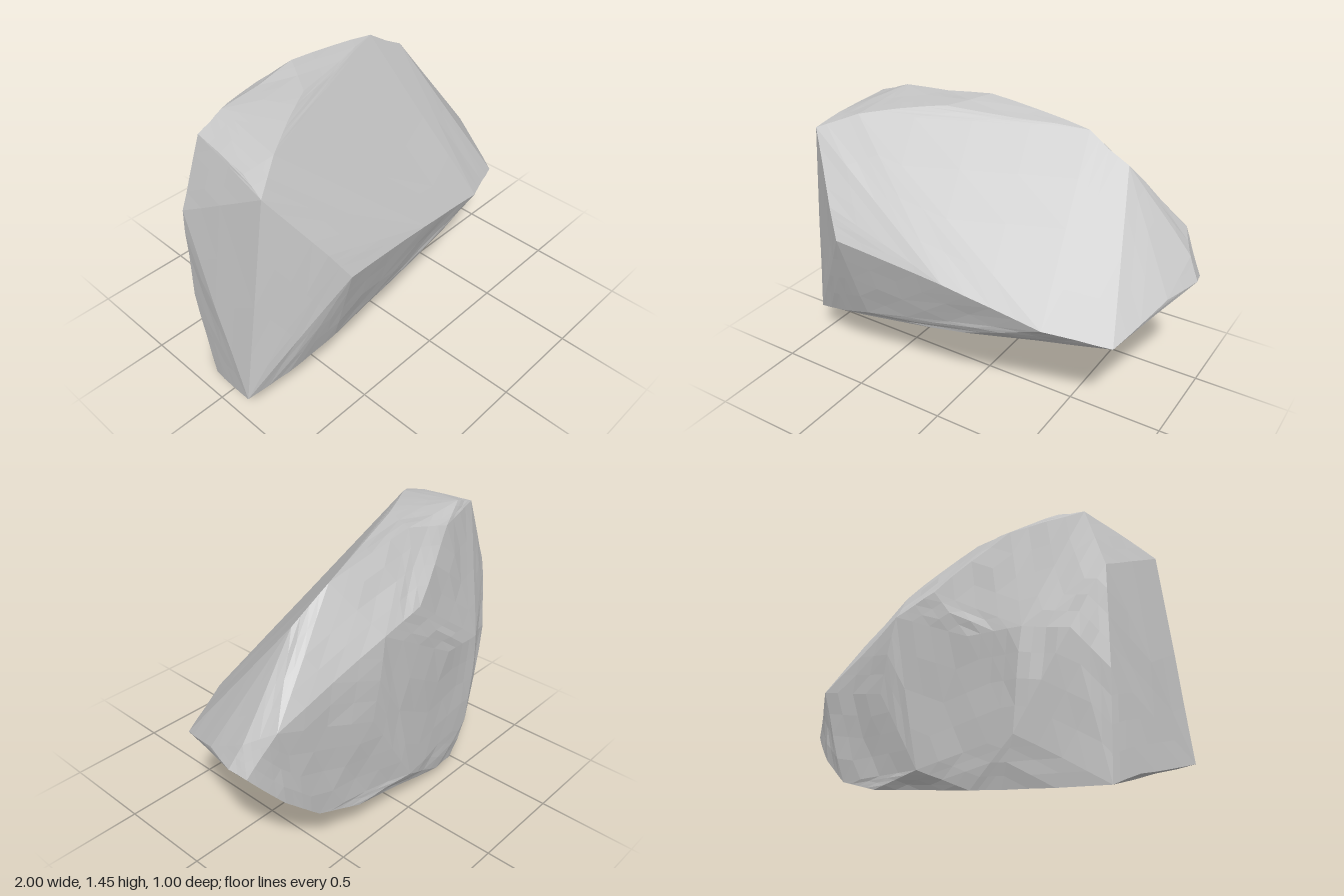
import * as THREE from 'three';
import { ConvexGeometry } from 'three/addons/geometries/ConvexGeometry.js';

// Corners of the boulder, grouped by region
const top = [
  [-0.86, 1.31, 0.27], [-0.83, 1.35, 0.13], [-0.68, 1.38, 0.15], [-0.8, 1.38, -0.2], [-0.5, 1.41, 0.04],
  [-0.65, 1.43, -0.22], [-0.3, 1.43, -0.07], [-0.17, 1.45, -0.29], [0.38, 1.37, -0.3], [0.6, 1.24, -0.29],
];
const front = [
  [-0.58, 0.85, 0.5], [-0.66, 0.99, 0.44], [-0.44, 1.18, 0.18], [0, 0.75, 0.43], [0.5, 0.62, 0.35],
  [0.81, 0.56, 0.22], [0.05, 0.43, 0.32], [-0.55, 0.35, 0.345], [-0.8, 0.25, 0.29], [-1, 0.17, 0.22],
];
const rightEnd = [
  [1, 0.72, -0.3], [0.98, 0.7, -0.39], [0.93, 0.7, -0.1], [0.94, 0.83, -0.33],
  [0.86, 0.91, -0.46], [0.81, 0.5, -0.44], [0.62, 0.33, -0.46],
];
const back = [
  [0.22, 1.11, -0.49], [-0.05, 1.15, -0.47], [-0.43, 1.39, -0.32], [-0.92, 1.02, -0.22],
  [-0.92, 0.5, -0.23], [-0.8, 0.7, -0.34], [-0.6, 0.75, -0.43], [-0.3, 0.8, -0.475],
  [0.3, 0.7, -0.5], [0, 0.22, -0.5], [-0.55, 0.25, -0.44],
];
const base = [
  [-0.88, 0, -0.21], [-0.94, 0.06, -0.1], [-0.46, 0.03, -0.42], [-0.3, 0.06, -0.45],
  [0, 0.16, -0.47], [0.35, 0.22, -0.47],
];

// Small repeatable offset for a position
function roughness(p) {
  const n = Math.sin(Math.round(p.x * 500) * 12.99 + Math.round(p.y * 500) * 78.23 + Math.round(p.z * 500) * 37.72) * 43758.55;
  return n - Math.floor(n) - 0.5;
}

// Split each triangle into four, nudging new points to chip the surface
function chip(triangles, amount) {
  const mid = (a, b) => {
    const p = a.clone().add(b).multiplyScalar(0.5);
    const weight = p.z < -0.2 ? 1 : p.y < 0.6 ? 0.7 : 0.3; // front face stays smoother
    const size = Math.min(1, a.distanceTo(b) / 0.3);
    const out = new THREE.Vector3(p.x * 0.3, p.y - 0.7, p.z * 2).normalize();
    return p.addScaledVector(out, roughness(p) * amount * weight * size);
  };
  return triangles.flatMap(([a, b, c]) => {
    const ab = mid(a, b), bc = mid(b, c), ca = mid(c, a);
    return [[a, ab, ca], [ab, b, bc], [ca, bc, c], [ab, bc, ca]];
  });
}

export function createModel() {
  const stone = new THREE.MeshStandardMaterial({ color: 0xc6c6c6, flatShading: true });
  stone.name = 'grey stone';

  const corners = [...top, ...front, ...rightEnd, ...back, ...base].map((p) => new THREE.Vector3(...p));
  const hull = new ConvexGeometry(corners).getAttribute('position');
  let triangles = [];
  for (let i = 0; i < hull.count; i += 3) {
    triangles.push([0, 1, 2].map((k) => new THREE.Vector3().fromBufferAttribute(hull, i + k)));
  }
  triangles = chip(chip(triangles, 0.02), 0.012);

  const geometry = new THREE.BufferGeometry().setFromPoints(triangles.flat());
  geometry.computeVertexNormals();
  const boulder = new THREE.Mesh(geometry, stone);
  boulder.name = 'boulder';

  const group = new THREE.Group();
  group.name = 'rock';
  group.add(boulder);
  return group;
}
